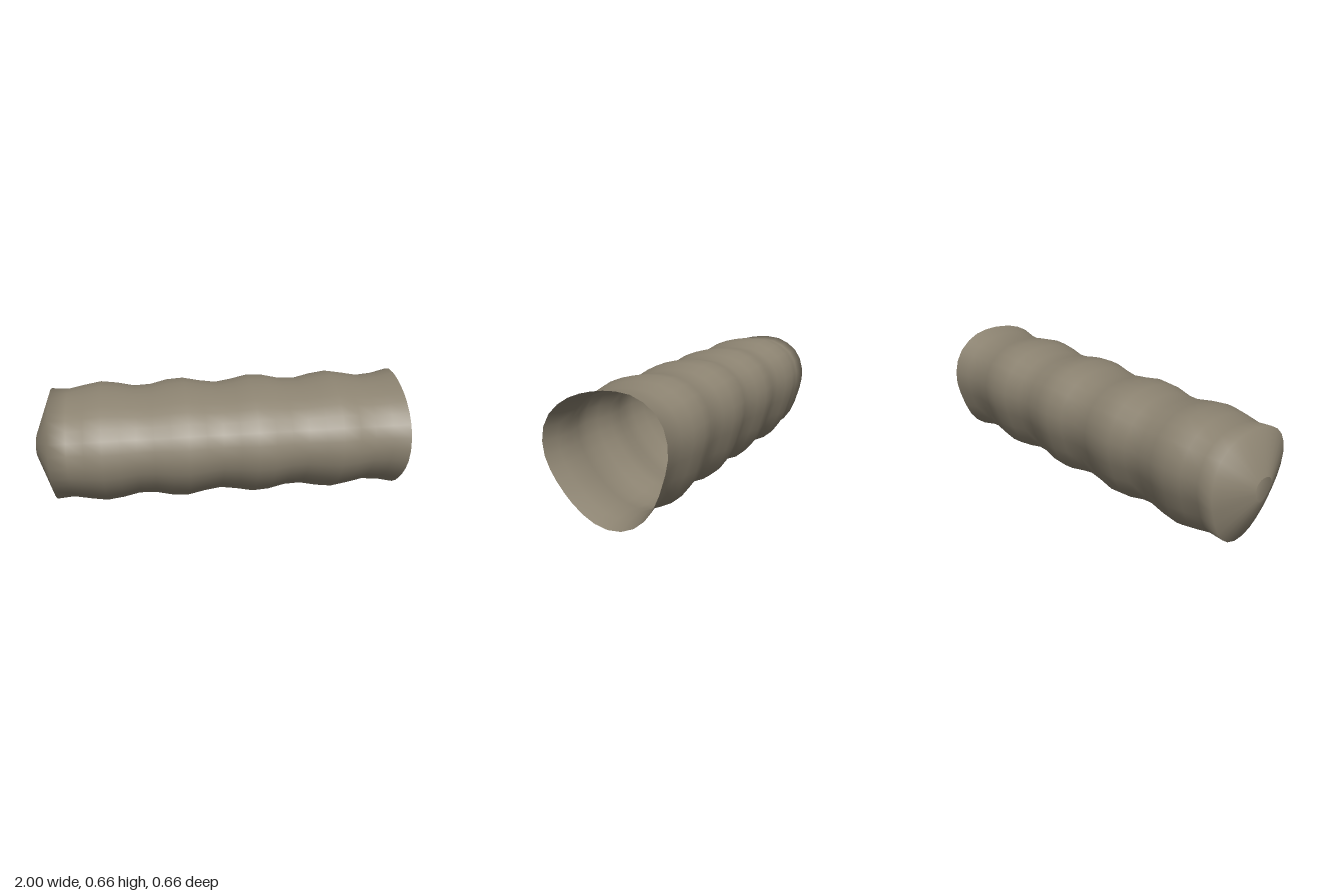
import * as THREE from 'three';

// Rounded triangular cross-section as [z, y], at full width
const section = [
  [-0.075, 0.665], [-0.148, 0.657], [-0.214, 0.63], [-0.273, 0.585], [-0.311, 0.525],
  [-0.33, 0.455], [-0.331, 0.385], [-0.317, 0.314], [-0.286, 0.216], [-0.25, 0.136],
  [-0.207, 0.079], [-0.152, 0.034], [-0.084, 0.007], [-0.012, 0.003], [0.059, 0.021],
  [0.12, 0.055], [0.177, 0.1], [0.22, 0.145], [0.262, 0.198], [0.296, 0.252],
  [0.323, 0.314], [0.334, 0.386], [0.323, 0.459], [0.289, 0.523], [0.239, 0.573],
  [0.179, 0.611], [0.116, 0.636], [0.054, 0.652], [-0.009, 0.662],
];
const axis = { z: -0.012, y: 0.35 };
const rings = 22;

// Gentle ripples along the length, pinched to a small hole at the -x end
function ringScale(i, x) {
  if (i === 0) return 0.2;
  return 0.95 + 0.05 * Math.cos((2 * Math.PI * (x + 0.63)) / 0.42);
}

function rippledTube() {
  const positions = [];
  const index = [];
  const n = section.length;
  for (let i = 0; i <= rings; i++) {
    const x = -1 + (2 * i) / rings;
    const s = ringScale(i, x);
    for (const [z, y] of section) {
      positions.push(x, axis.y + (y - axis.y) * s, axis.z + (z - axis.z) * s);
    }
  }
  for (let i = 0; i < rings; i++) {
    for (let j = 0; j < n; j++) {
      const k = (j + 1) % n;
      const a = i * n + j, b = i * n + k, c = a + n, d = b + n;
      index.push(a, c, b, b, c, d);
    }
  }
  const geometry = new THREE.BufferGeometry();
  geometry.setAttribute('position', new THREE.Float32BufferAttribute(positions, 3));
  geometry.setIndex(index);
  geometry.computeVertexNormals();
  return geometry;
}

export function createModel() {
  const group = new THREE.Group();
  group.name = 'rippledTunnel';
  // Thin open shell, seen from inside and outside
  const stone = new THREE.MeshStandardMaterial({ color: 0x8c8371, side: THREE.DoubleSide });
  stone.name = 'grey brown';
  const shell = new THREE.Mesh(rippledTube(), stone);
  shell.name = 'tunnelShell';
  group.add(shell);
  return group;
}
